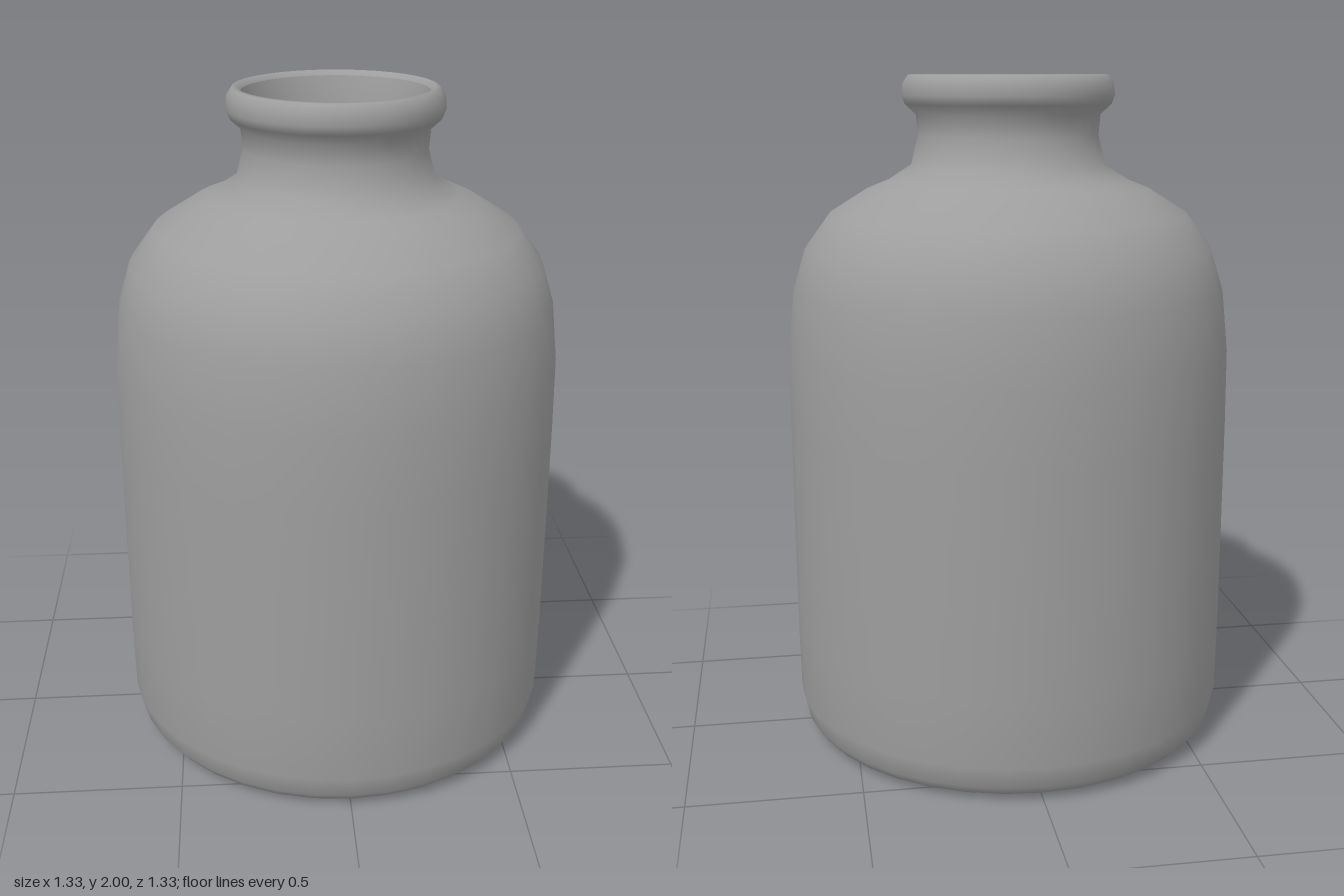
import * as THREE from 'three';

const SEGMENTS = 36;

export function createModel() {
  const model = new THREE.Group();
  model.name = 'bottle';
  const material = new THREE.MeshStandardMaterial({ color: 0x9d9d9d });

  const addLathe = (name, profile) => {
    const points = profile.map(([r, y]) => new THREE.Vector2(r, y));
    const mesh = new THREE.Mesh(new THREE.LatheGeometry(points, SEGMENTS), material);
    mesh.name = name;
    model.add(mesh);
  };

  // Base, body, shoulder, neck and rolled lip, from the bottom centre upwards
  addLathe('outerWall', [
    [0, 0.003], [0.3, 0.004], [0.53, 0.006], [0.595, 0.01], [0.622, 0.025],
    [0.645, 0.055], [0.66, 0.12], [0.663, 0.32], [0.664, 0.65], [0.664, 0.98],
    [0.662, 1.2], [0.643, 1.38], [0.606, 1.5], [0.532, 1.6], [0.42, 1.67],
    [0.357, 1.695], [0.288, 1.74], [0.267, 1.825], [0.272, 1.885],
    [0.304, 1.915], [0.314, 1.94], [0.31, 1.975], [0.294, 1.998],
    [0.282, 2], [0.27, 1.985],
  ]);

  // Hollow inside, from the sharp inner edge of the lip down to the floor
  addLathe('innerWall', [
    [0.27, 1.985], [0.262, 1.95], [0.252, 1.89], [0.247, 1.825], [0.27, 1.73],
    [0.345, 1.678], [0.41, 1.652], [0.518, 1.585], [0.588, 1.49], [0.624, 1.375],
    [0.643, 1.2], [0.645, 0.65], [0.641, 0.12], [0.625, 0.06], [0.585, 0.03],
    [0.5, 0.025], [0, 0.025],
  ]);

  return model;
}
